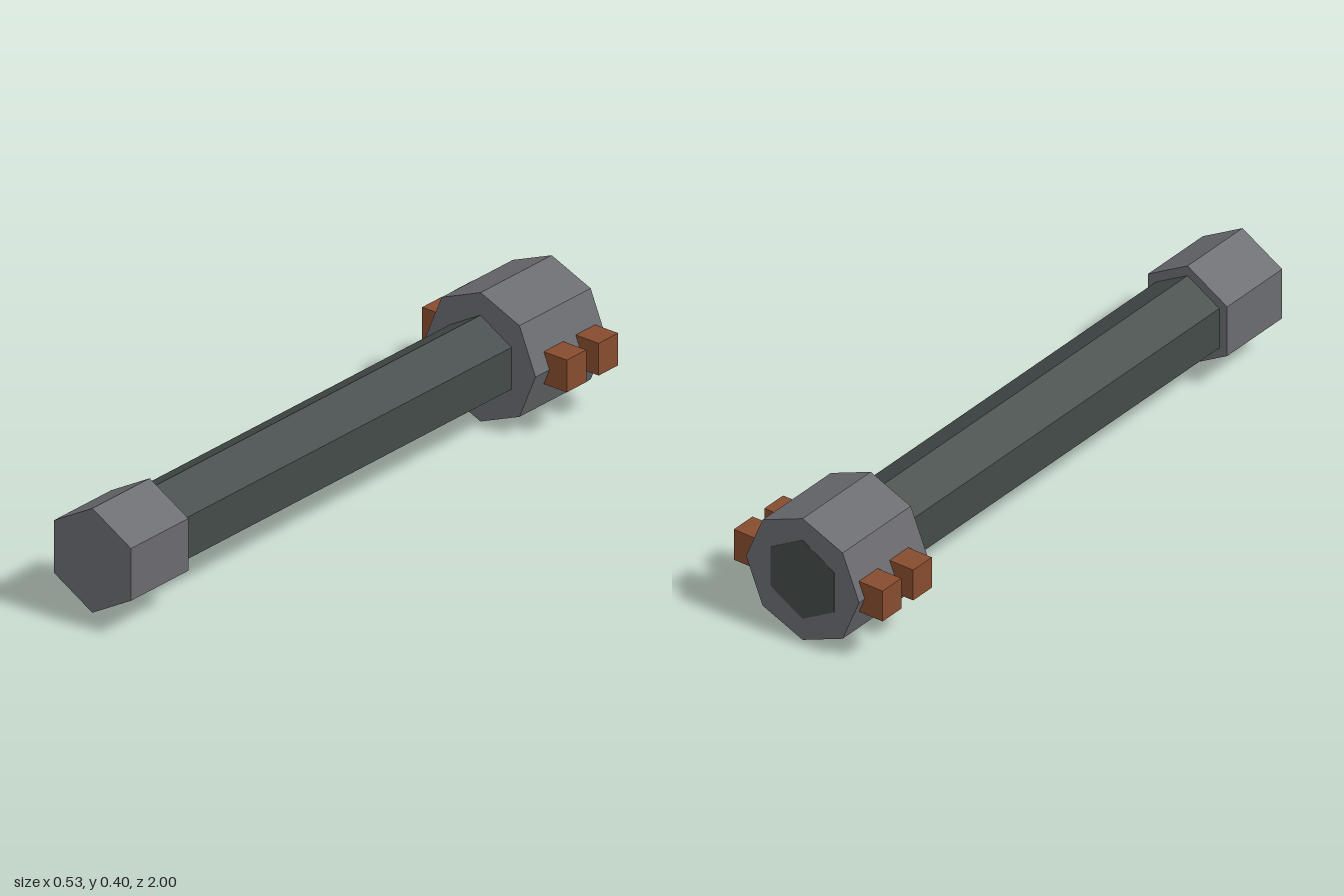
import * as THREE from 'three';

export function createModel() {
  const model = new THREE.Group();
  model.name = 'hammerHandle';

  const mat = (name, color) => {
    const m = new THREE.MeshStandardMaterial({ color, flatShading: true });
    m.name = name;
    return m;
  };
  const steel = mat('grey steel', 0x6a6b6f);
  const grip = mat('dark green grey', 0x434b49);
  const copper = mat('copper brown', 0x864c2e);

  const axisY = 0.2;

  // Prism along z with a corner pointing straight up
  function prism(name, sides, radius, z0, z1, material) {
    const geo = new THREE.CylinderGeometry(radius, radius, z1 - z0, sides);
    geo.rotateX(Math.PI / 2);
    const mesh = new THREE.Mesh(geo, material);
    mesh.name = name;
    mesh.position.set(0, axisY, (z0 + z1) / 2);
    model.add(mesh);
  }

  // Shaft reaches just past the collar, so its end shows at the back
  prism('shaft', 6, 0.13, -1.001, 0.8, grip);
  prism('endCap', 6, 0.162, 0.75, 1, steel);
  prism('collar', 8, 0.2, -1, -0.69, steel);

  // Two lugs on each side of the collar
  const lugGeo = new THREE.BoxGeometry(0.103, 0.1, 0.085);
  for (const side of [1, -1]) {
    for (const [place, z] of [['Front', -0.793], ['Back', -0.932]]) {
      const lug = new THREE.Mesh(lugGeo, copper);
      lug.name = (side > 0 ? 'left' : 'right') + place + 'Lug';
      lug.position.set(side * 0.2115, axisY, z);
      model.add(lug);
    }
  }

  return model;
}
